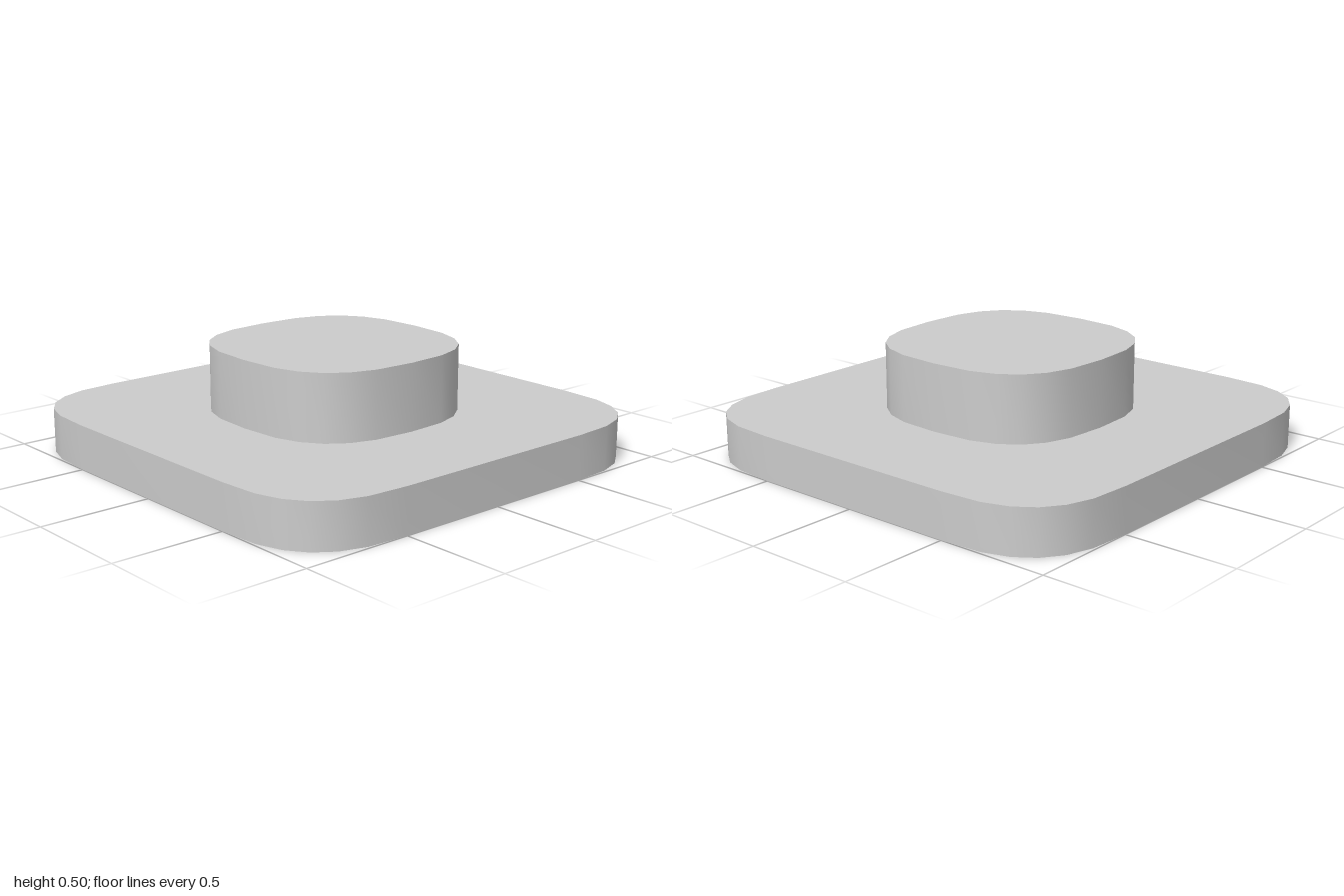
import * as THREE from 'three';
import { toCreasedNormals } from 'three/addons/utils/BufferGeometryUtils.js';

const material = new THREE.MeshStandardMaterial({ color: 0xcccccc });
const STEPS = 6; // segments per corner
const POWER = 0.72; // below 1 makes the corner squarer than a circle

// Square outline whose corners are superellipse arcs of the given radius
function softSquare(half, radius) {
  const points = [];
  const corner = half - radius;
  for (let q = 0; q < 4; q++) {
    for (let i = 0; i <= STEPS; i++) {
      if (corner === 0 && i === STEPS) continue; // next corner starts here
      const a = (i / STEPS) * Math.PI / 2;
      const c = i === STEPS ? 0 : Math.cos(a) ** POWER;
      const s = Math.sin(a) ** POWER;
      const p = new THREE.Vector2(corner + radius * c, corner + radius * s);
      points.push(p.rotateAround(new THREE.Vector2(), q * Math.PI / 2));
    }
  }
  return new THREE.Shape(points);
}

// Upright slab with smooth sides and sharp rims
function slab(name, half, radius, bottom, top) {
  const geometry = new THREE.ExtrudeGeometry(softSquare(half, radius), {
    depth: top - bottom,
    bevelEnabled: false,
  });
  geometry.rotateX(-Math.PI / 2);
  geometry.translate(0, bottom, 0);
  const mesh = new THREE.Mesh(toCreasedNormals(geometry, Math.PI / 5), material);
  mesh.name = name;
  return mesh;
}

export function createModel() {
  const model = new THREE.Group();
  model.name = 'steppedPlinth';
  model.add(slab('basePlate', 1, 0.5, 0, 0.2));
  model.add(slab('raisedBoss', 0.5, 0.5, 0.2, 0.5));
  return model;
}
